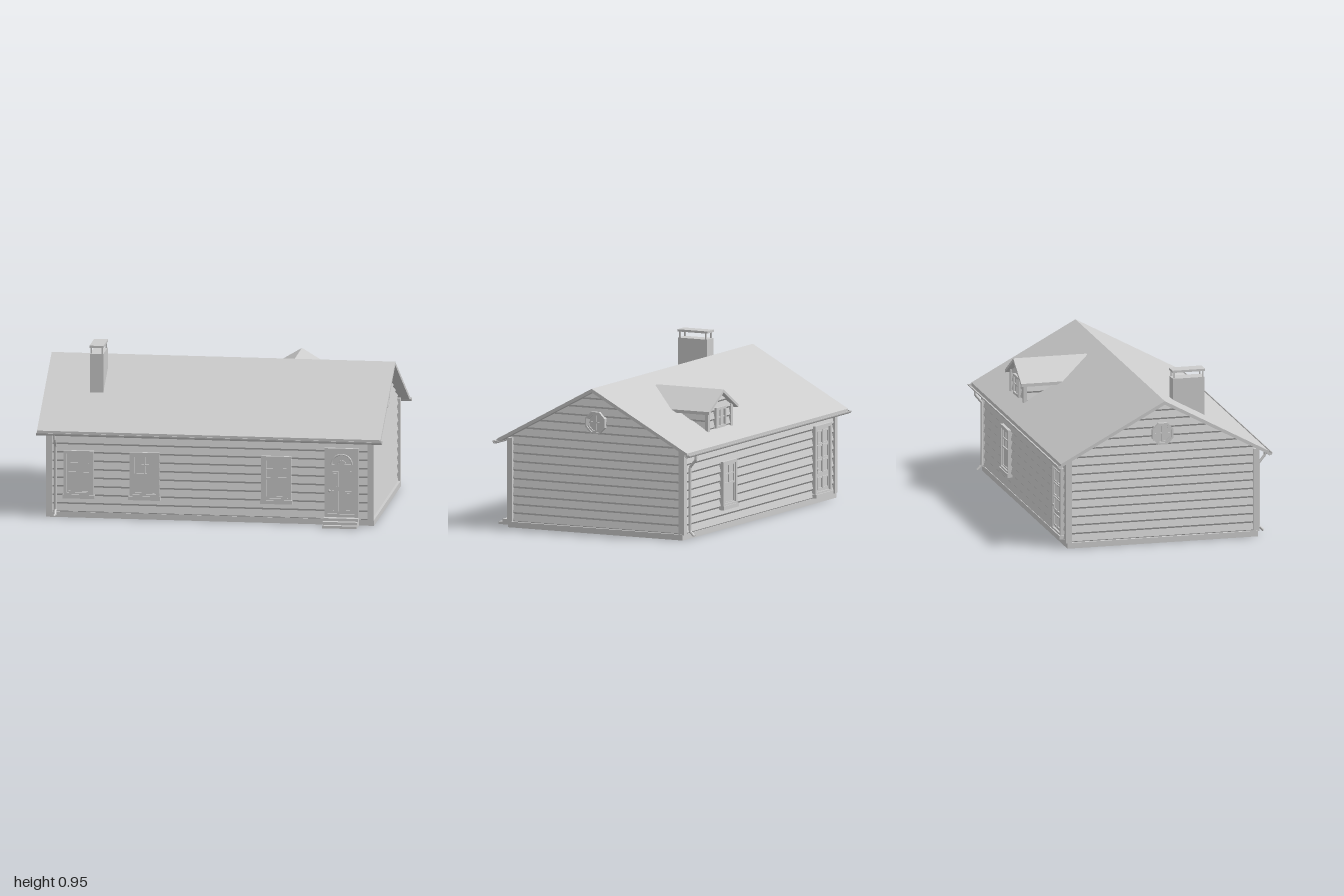
import * as THREE from 'three';

const mat = new THREE.MeshStandardMaterial({ color: 0xcccccc, flatShading: true });
const thin = new THREE.MeshStandardMaterial({ color: 0xcccccc, flatShading: true, side: THREE.DoubleSide });
const PITCH = 0.0497, SLOPE = 0.54, RIDGE = 0.845;

function group(parent, name, x = 0, y = 0, z = 0, ry = 0) {
  const g = new THREE.Group();
  g.name = name;
  g.position.set(x, y, z);
  g.rotation.y = ry;
  parent.add(g);
  return g;
}

function put(parent, name, geo, x = 0, y = 0, z = 0, m = mat) {
  const mesh = new THREE.Mesh(geo, m);
  mesh.name = name;
  mesh.position.set(x, y, z);
  parent.add(mesh);
  return mesh;
}

// Box given by its low and high limits
function box(parent, name, [x0, x1], [y0, y1], [z0, z1]) {
  return put(parent, name, new THREE.BoxGeometry(x1 - x0, y1 - y0, z1 - z0),
    (x0 + x1) / 2, (y0 + y1) / 2, (z0 + z1) / 2);
}

// Overlapping boards facing +z; half(y) gives the half width at each height
function siding(half, yBase, yTop) {
  const rows = [];
  for (let y = yBase; y < yTop; y += PITCH) {
    rows.push([y, -0.01]);
    if (y + 0.011 < yTop) rows.push([y + 0.011, 0]);
  }
  rows.push([yTop, -0.01]);
  const pos = [];
  for (let i = 0; i < rows.length - 1; i++) {
    const [ya, za] = rows[i], [yb, zb] = rows[i + 1];
    const a = half(ya), b = half(yb);
    pos.push(-a, ya, za, a, ya, za, b, yb, zb, -a, ya, za, b, yb, zb, -b, yb, zb);
  }
  const geo = new THREE.BufferGeometry();
  geo.setAttribute('position', new THREE.Float32BufferAttribute(pos, 3));
  geo.computeVertexNormals();
  return geo;
}

// Gabled roof sheet extruded along z
function roofSheet(half, ridge, slope, thick, length) {
  const e = ridge - half * slope;
  const s = new THREE.Shape([[-half, e], [-half, e - thick], [0, ridge - thick], [half, e - thick], [half, e], [0, ridge]]
    .map(p => new THREE.Vector2(...p)));
  return new THREE.ExtrudeGeometry(s, { depth: length, bevelEnabled: false }).translate(0, 0, -length / 2);
}

// Rectangular frame centred on x
function frame(parent, name, w, y0, y1, t, z0, z1, x = 0) {
  for (const s of [-1, 1]) {
    const e = x + s * w / 2, i = e - s * t;
    box(parent, name, [Math.min(e, i), Math.max(e, i)], [y0, y1], [z0, z1]);
  }
  box(parent, name, [x - w / 2 + t, x + w / 2 - t], [y1 - t, y1], [z0, z1]);
  box(parent, name, [x - w / 2 + t, x + w / 2 - t], [y0, y0 + t], [z0, z1]);
}

function sashWindow(parent, x, z, ry) {
  const g = group(parent, 'window', x, 0, z, ry);
  frame(g, 'windowTrim', 0.173, 0.13, 0.393, 0.018, -0.012, 0.016);
  box(g, 'glass', [-0.07, 0.07], [0.14, 0.38], [-0.012, 0.002]);
  box(g, 'windowSill', [-0.092, 0.092], [0.115, 0.137], [-0.012, 0.022]);
  frame(g, 'upperSash', 0.138, 0.258, 0.376, 0.01, 0, 0.01);
  frame(g, 'lowerSash', 0.138, 0.146, 0.266, 0.01, 0, 0.007);
  box(g, 'glazingBar', [-0.004, 0.004], [0.265, 0.37], [0, 0.008]);
  box(g, 'glazingBar', [-0.06, 0.06], [0.313, 0.321], [0, 0.008]);
}

function doorBase(parent, name, x, z, ry) {
  const g = group(parent, name, x, 0, z, ry);
  frame(g, 'doorTrim', 0.198, 0.048, 0.45, 0.018, -0.012, 0.016);
  box(g, 'doorLeaf', [-0.082, 0.082], [0.06, 0.434], [-0.012, 0.004]);
  put(g, 'doorKnob', new THREE.SphereGeometry(0.008, 10, 8), -0.07, 0.2, 0.012);
  return g;
}

function downspout(parent, x, ry) {
  const pts = [[0.62, 0.49], [0.62, 0.465], [0.584, 0.42], [0.582, 0.4], [0.582, 0.06], [0.585, 0.045], [0.61, 0.02]];
  const curve = new THREE.CatmullRomCurve3(pts.map(([z, y]) => new THREE.Vector3(0, y, z)), false, 'catmullrom', 0.1);
  const g = group(parent, 'downspout', 0, 0, 0, ry);
  put(g, 'downspoutPipe', new THREE.TubeGeometry(curve, 60, 0.008, 8), x, 0, 0, thin);
}

function octagonVent(parent, ry) {
  const g = group(parent, 'gableWindow', 0, 0, 0, ry);
  const oct = r => Array.from({ length: 8 }, (_, i) => {
    const a = (i + 0.5) * Math.PI / 4;
    return new THREE.Vector2(r * Math.cos(a), r * Math.sin(a));
  });
  const ring = (r0, r1, d) => {
    const s = new THREE.Shape(oct(r0));
    if (r1) s.holes.push(new THREE.Path(oct(r1)));
    return new THREE.ExtrudeGeometry(s, { depth: d, bevelEnabled: false });
  };
  put(g, 'ventTrim', ring(0.068, 0.057, 0.03), 0, 0.642, 0.923);
  put(g, 'ventSash', ring(0.057, 0.048, 0.022), 0, 0.642, 0.923);
  put(g, 'ventGlass', ring(0.05, 0, 0.014), 0, 0.642, 0.923);
  box(g, 'ventBar', [-0.004, 0.004], [0.595, 0.689], [0.93, 0.942]);
  box(g, 'ventBar', [-0.047, 0.047], [0.638, 0.646], [0.93, 0.942]);
}

export function createModel() {
  const model = new THREE.Group();
  model.name = 'house';
  const h = group(model, 'building', -0.003, 0, -0.016);

  // Foundation and walls
  box(h, 'foundation', [-0.948, 0.948], [0, 0.033], [-0.565, 0.565]);
  const y0 = 0.077 - PITCH;
  for (const s of [0, 1]) {
    const ry = s * Math.PI;
    put(group(h, 'longWall', 0, 0, 0, ry), 'siding', siding(() => 0.93, y0, 0.53), 0, 0, 0.566, thin);
    const gable = siding(y => Math.max(0, Math.min(0.56, (RIDGE - 0.012 - y) / SLOPE)), y0, 0.833);
    put(group(h, 'gableWall', 0, 0, 0, ry + Math.PI / 2), 'siding', gable, 0, 0, 0.936, thin);
    octagonVent(h, ry + Math.PI / 2);
  }
  for (const sx of [-1, 1]) for (const sz of [-1, 1]) {
    put(h, 'cornerBoard', new THREE.BoxGeometry(0.035, 0.487, 0.035), sx * 0.928, 0.2735, sz * 0.5555);
  }

  // Main roof, gutters and downspouts
  const roof = roofSheet(0.616, RIDGE, SLOPE, 0.021, 1.985);
  put(h, 'mainRoof', roof.rotateY(Math.PI / 2));
  const cs = new THREE.Shape();
  cs.absarc(0, 0, 0.017, Math.PI, 2 * Math.PI, false);
  cs.absarc(0, 0, 0.013, 2 * Math.PI, Math.PI, true);
  const gutter = new THREE.ExtrudeGeometry(cs, { depth: 1.998, bevelEnabled: false, curveSegments: 8 })
    .translate(0, 0, -0.999).rotateY(Math.PI / 2);
  for (const s of [-1, 1]) {
    put(h, 'gutter', gutter, 0.003, 0.503, s * 0.62);
    for (const e of [-1, 1]) {
      const cap = new THREE.CircleGeometry(0.016, 8, Math.PI, Math.PI).rotateY(Math.PI / 2);
      put(h, 'gutterCap', cap, 0.003 + e * 0.997, 0.503, s * 0.62, thin);
    }
  }
  downspout(h, -0.89, 0);
  downspout(h, -0.89, Math.PI);

  // Windows
  for (const x of [-0.757, -0.377, 0.385]) sashWindow(h, x, 0.566, 0);
  sashWindow(h, 0.393, -0.566, Math.PI);

  // Front door with panels and fanlight
  const fd = doorBase(h, 'frontDoor', 0.762, 0.566, 0);
  for (const s of [-1, 1]) for (const [a, b] of [[0.08, 0.2], [0.222, 0.315]]) {
    frame(fd, 'panelMoulding', 0.036, a, b, 0.006, 0.003, 0.01, s * 0.038);
    box(fd, 'doorPanel', [s * 0.038 - 0.008, s * 0.038 + 0.008], [a + 0.012, b - 0.012], [0.003, 0.008]);
  }
  put(fd, 'fanlightArch', new THREE.TorusGeometry(0.06, 0.005, 6, 20, Math.PI), 0, 0.352, 0.005);
  put(fd, 'fanlightHub', new THREE.TorusGeometry(0.024, 0.003, 6, 12, Math.PI), 0, 0.352, 0.005);
  box(fd, 'fanlightBase', [-0.065, 0.065], [0.347, 0.355], [0.002, 0.01]);
  for (const a of [-1, 0, 1]) {
    const spoke = new THREE.BoxGeometry(0.005, 0.036, 0.006).translate(0, 0.042, 0);
    put(fd, 'fanlightSpoke', spoke, 0, 0.352, 0.006).rotation.z = a * Math.PI / 4;
  }
  [[0.015, 0.671], [0.032, 0.644], [0.048, 0.616]].forEach(([y, z]) =>
    box(h, 'frontStep', [0.662, 0.861], [0, y], [0.55, z]));

  // Glazed back door
  const bd = doorBase(h, 'backDoor', -0.757, -0.566, Math.PI);
  for (const s of [-1, 1]) {
    for (const y of [0.172, 0.256, 0.34]) frame(bd, 'doorPane', 0.066, y, y + 0.078, 0.008, 0.003, 0.011, s * 0.036);
    frame(bd, 'doorPanel', 0.066, 0.08, 0.15, 0.008, 0.003, 0.011, s * 0.036);
  }
  box(bd, 'threshold', [-0.105, 0.105], [0.035, 0.055], [-0.012, 0.024]);

  // Chimney with raised cap
  const c = group(h, 'chimney', -0.691, 0, 0.212);
  box(c, 'chimneyStack', [-0.039, 0.039], [0.6, 0.905], [-0.094, 0.094]);
  for (const sx of [-1, 1]) for (const sz of [-1, 1]) {
    put(c, 'capPost', new THREE.BoxGeometry(0.008, 0.038, 0.008), sx * 0.032, 0.923, sz * 0.084);
  }
  box(c, 'chimneyCap', [-0.04, 0.04], [0.94, 0.953], [-0.097, 0.097]);

  // Dormer on the back slope, built facing +z and turned round
  const d = group(h, 'dormer', 0.38, 0, 0, Math.PI);
  put(d, 'dormerRoof', roofSheet(0.18, 0.798, 0.6, 0.018, 0.435), 0, 0, 0.3145);
  const dBase = 0.077 + 9 * PITCH, face = 0.506;
  put(d, 'dormerFront', siding(y => Math.max(0, Math.min(0.145, (0.788 - y) / 0.6)), dBase, 0.788), 0, 0, face, thin);
  for (const s of [-1, 1]) {
    const side = group(d, 'dormerSide', 0, 0, 0.345, s * Math.PI / 2);
    put(side, 'siding', siding(() => 0.155, dBase, 0.7), 0, 0, 0.147, thin);
    box(d, 'dormerCornerBoard', [s * 0.142 - 0.011, s * 0.142 + 0.011], [0.545, 0.695], [face - 0.016, face + 0.006]);
  }
  frame(d, 'dormerWindowTrim', 0.12, 0.578, 0.696, 0.014, face - 0.01, face + 0.012);
  box(d, 'dormerGlass', [-0.05, 0.05], [0.585, 0.69], [face - 0.01, face + 0.002]);
  box(d, 'dormerGlazingBar', [-0.005, 0.005], [0.59, 0.684], [face, face + 0.008]);
  box(d, 'dormerGlazingBar', [-0.048, 0.048], [0.634, 0.642], [face, face + 0.007]);
  return model;
}
